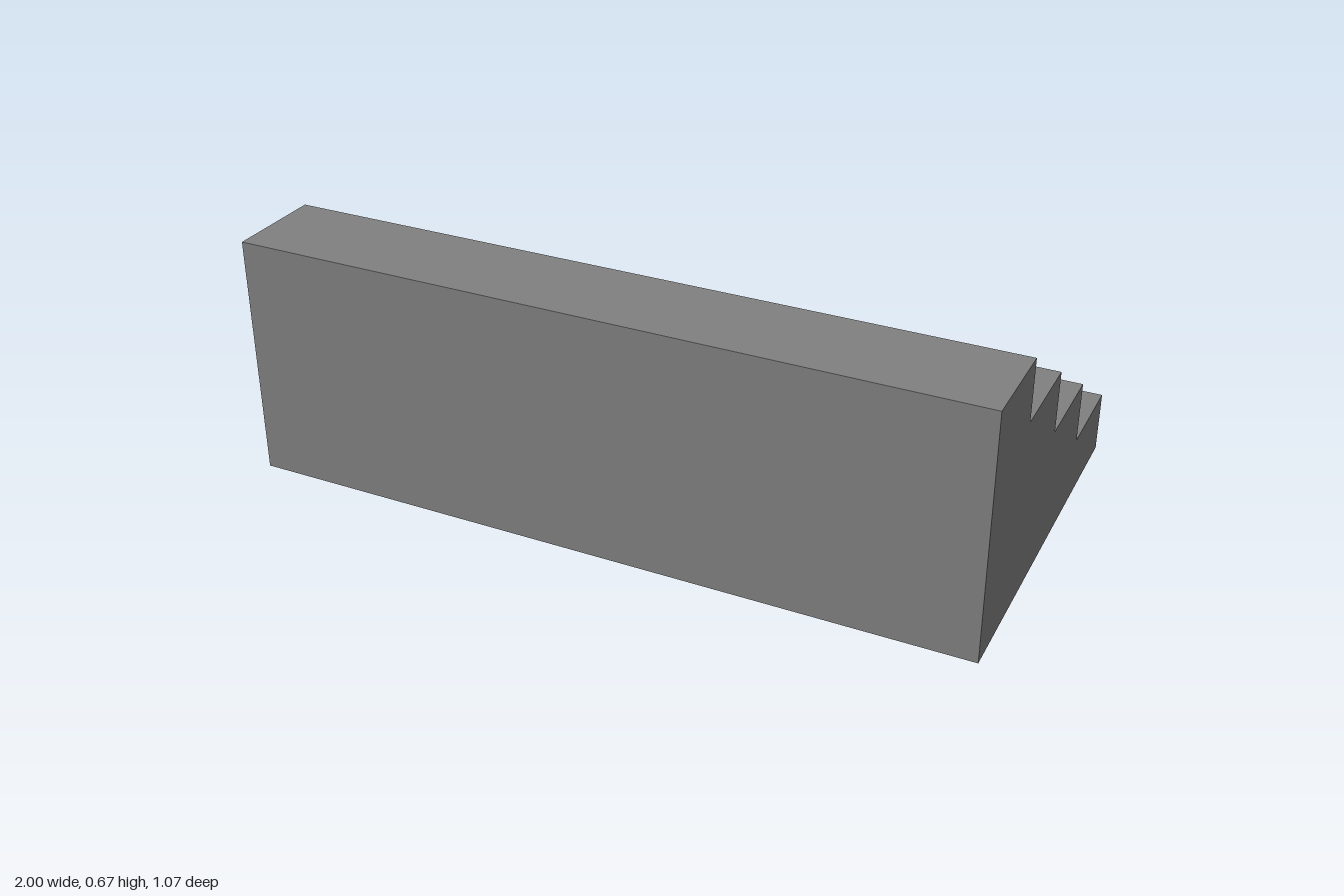
import * as THREE from 'three';

const STEPS = 4;
const WIDTH = 2;
const TREAD = 0.2667;
const RISE = 0.1667;

export function createModel() {
  const group = new THREE.Group();
  group.name = 'staircase';
  const stone = new THREE.MeshStandardMaterial({ color: 0x808080 });
  stone.name = 'grey stone';

  // Side profile: shape x is depth (z), stepping up from back to front
  const half = (STEPS * TREAD) / 2;
  const profile = new THREE.Shape();
  profile.moveTo(half, 0);
  profile.lineTo(half, STEPS * RISE);
  for (let i = STEPS; i > 0; i--) {
    const z = -half + (i - 1) * TREAD;
    profile.lineTo(z, i * RISE);
    profile.lineTo(z, (i - 1) * RISE);
  }

  // Solid flight of steps, extruded across the width
  const geometry = new THREE.ExtrudeGeometry(profile, { depth: WIDTH, bevelEnabled: false });
  geometry.translate(0, 0, -WIDTH / 2);
  geometry.rotateY(-Math.PI / 2);
  const steps = new THREE.Mesh(geometry, stone);
  steps.name = 'steps';
  group.add(steps);
  return group;
}
